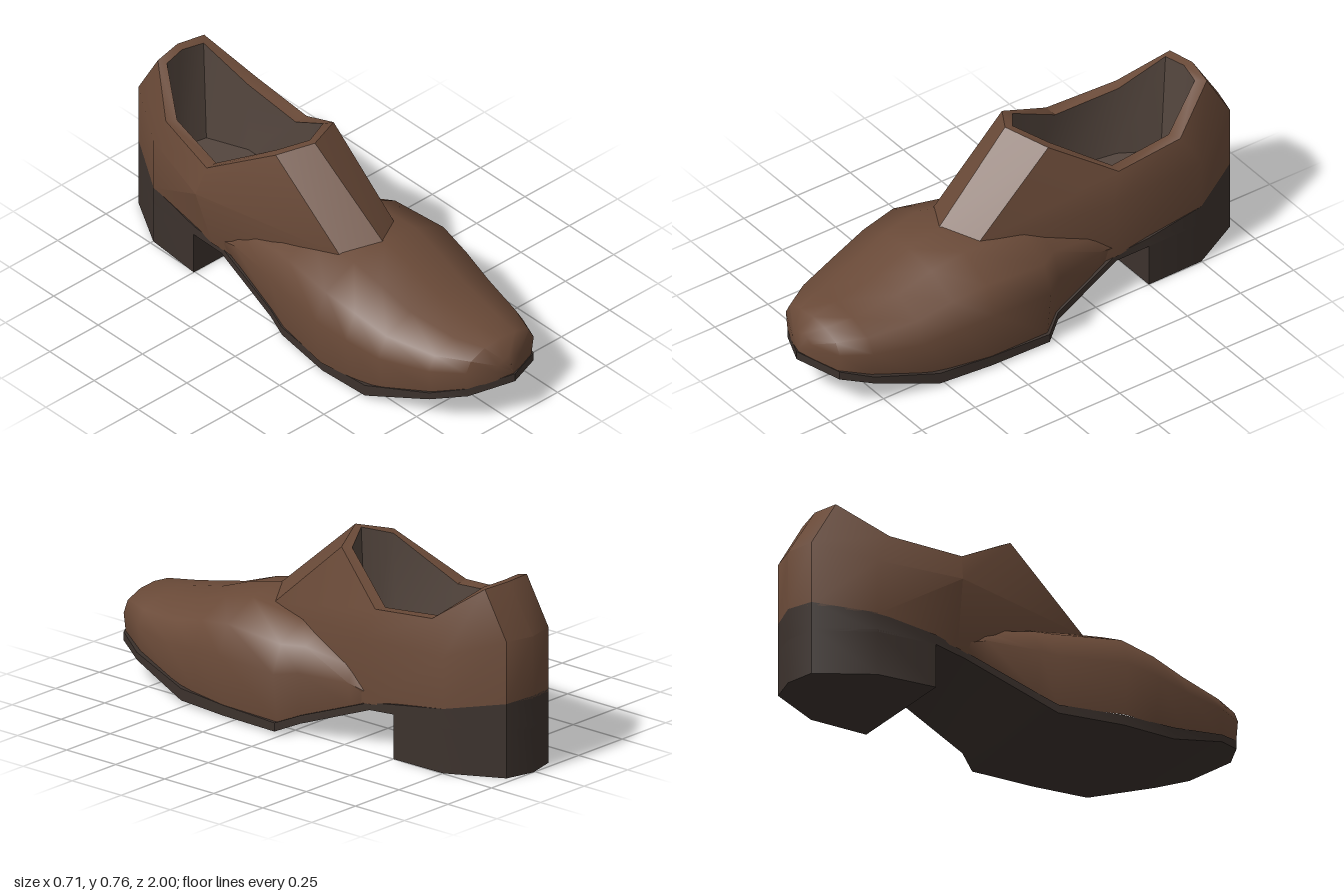
import * as THREE from 'three';
import { toCreasedNormals } from 'three/addons/utils/BufferGeometryUtils.js';

// Skin a series of cross-sections (rows of Vector3); optionally close each row into a ring
function loft(rows, closed, crease = 0.7) {
  const pos = [];
  const tri = (...p) => {
    if (new THREE.Triangle(...p).getArea() > 1e-6) p.forEach(v => pos.push(v.x, v.y, v.z));
  };
  for (let i = 0; i < rows.length - 1; i++) {
    const n = rows[i].length;
    for (let j = 0; j < (closed ? n : n - 1); j++) {
      const k = (j + 1) % n;
      const a = rows[i][j], b = rows[i][k], c = rows[i + 1][k], d = rows[i + 1][j];
      tri(a, b, c);
      tri(a, c, d);
    }
  }
  const g = new THREE.BufferGeometry();
  g.setAttribute('position', new THREE.Float32BufferAttribute(pos, 3));
  return toCreasedNormals(g, crease);
}

const V = (x, y, z) => new THREE.Vector3(x, y, z);

export function createModel() {
  const shoe = new THREE.Group();
  shoe.name = 'shoe';
  const leather = new THREE.MeshStandardMaterial({ color: 0x6a4a38 });
  const lining = new THREE.MeshStandardMaterial({ color: 0x54463e });
  const rubber = new THREE.MeshStandardMaterial({ color: 0x3c322d });
  const add = (name, geometry, material) => {
    const m = new THREE.Mesh(geometry, material);
    m.name = name;
    shoe.add(m);
  };

  // Sole: z, right edge, left edge, underside, upper edge
  const sole = [
    [1, 0.03, 0.03, 0.165, 0.2],
    [0.92, -0.14, 0.2, 0.135, 0.17],
    [0.8, -0.23, 0.26, 0.1, 0.13],
    [0.53, -0.315, 0.31, 0.012, 0.06],
    [0.3, -0.325, 0.33, 0.01, 0.052],
    [0.03, -0.285, 0.337, 0.01, 0.045],
    [-0.05, -0.27, 0.28, 0.045, 0.078],
    [-0.36, -0.24, 0.23, 0.16, 0.19],
    [-0.5, -0.255, 0.25, 0.18, 0.22],
    [-0.75, -0.235, 0.247, 0.18, 0.26],
    [-0.97, -0.11, 0.13, 0.18, 0.3],
    [-1, 0.01, 0.01, 0.18, 0.31],
  ];
  add('sole', loft(sole.map(([z, l, r, b, t]) =>
    [V(l, b, z), V(l, t, z), V(r, t, z), V(r, b, z)]), true, 0.5), rubber);

  // Heel block, following the rear sole outline
  const rear = sole.slice(8);
  const outline = [
    ...rear.map(([z, l]) => new THREE.Vector2(l, -z)),
    ...rear.slice(0, -1).reverse().map(([z, , r]) => new THREE.Vector2(r, -z)),
  ];
  const heel = new THREE.ExtrudeGeometry(new THREE.Shape(outline), { depth: 0.19, bevelEnabled: false });
  heel.rotateX(-Math.PI / 2);
  add('heel', toCreasedNormals(heel, 0.5), rubber);

  // Vamp: z, right edge, left edge, base, crest; arched sections from toe to instep
  const vamp = [
    [0.99, 0.03, 0.03, 0.19, 0.21],
    [0.97, -0.04, 0.09, 0.185, 0.27],
    [0.92, -0.15, 0.2, 0.165, 0.328],
    [0.8, -0.235, 0.255, 0.13, 0.337],
    [0.6, -0.31, 0.305, 0.07, 0.375],
    [0.45, -0.34, 0.33, 0.055, 0.43],
    [0.3, -0.357, 0.353, 0.05, 0.465],
    [0.03, -0.3, 0.345, 0.045, 0.44],
    [-0.05, -0.285, 0.29, 0.078, 0.425],
    [-0.27, -0.255, 0.25, 0.155, 0.35],
    [-0.38, -0.24, 0.225, 0.19, 0.25],
  ];
  const half = [[0.93, 0], [1, 0.5], [0.86, 0.78], [0.45, 0.95]];
  const arch = [...half.map(([u, v]) => [-u, v]), [0, 1], ...[...half].reverse()];
  add('vamp', loft(vamp.map(([z, l, r, b, t]) =>
    arch.map(([u, v]) => V((l + r) / 2 + u * (r - l) / 2, b + v * (t - b), z))), false, 0.9), leather);

  // Quarters: rings run from the heel along the left side, over the tongue and back
  const ring = pts => pts.map(p => V(...p));
  const collar = ring([
    [0.01, 0.745, -0.88], [0.13, 0.738, -0.86], [0.22, 0.6, -0.67], [0.22, 0.57, -0.38], [0.12, 0.735, -0.12],
    [-0.05, 0.765, -0.04], [-0.18, 0.73, -0.12], [-0.28, 0.565, -0.4], [-0.225, 0.6, -0.69], [-0.11, 0.738, -0.86],
  ]);
  const middle = ring([
    [0.01, 0.55, -1], [0.13, 0.55, -0.97], [0.245, 0.47, -0.75], [0.253, 0.45, -0.33], [0.13, 0.43, 0.22],
    [-0.01, 0.462, 0.3], [-0.16, 0.43, 0.22], [-0.32, 0.45, -0.42], [-0.235, 0.48, -0.75], [-0.11, 0.55, -0.97],
  ]);
  const base = ring([
    [0.01, 0.3, -1], [0.13, 0.29, -0.97], [0.247, 0.255, -0.75], [0.235, 0.185, -0.36], [0.13, 0.1, 0.12],
    [0, 0.1, 0.2], [-0.16, 0.1, 0.12], [-0.25, 0.19, -0.4], [-0.235, 0.255, -0.75], [-0.11, 0.29, -0.97],
  ]);
  add('quarters', loft([collar, middle, base], true, 0.55), leather);

  // Collar rim, inner wall and insole
  const inset = (s, t, y) => collar.map(p =>
    V(-0.03 + (p.x + 0.03) * s, y ?? p.y - 0.005, -0.45 + (p.z + 0.45) * t));
  const inner = inset(0.79, 0.92);
  add('collarRim', loft([inner, collar], true), leather);
  const floor = inset(0.74, 0.86, 0.3);
  add('lining', loft([floor, inner], true), lining);
  add('insole', loft([floor.map(() => V(-0.03, 0.3, -0.45)), floor], true), lining);

  return shoe;
}
